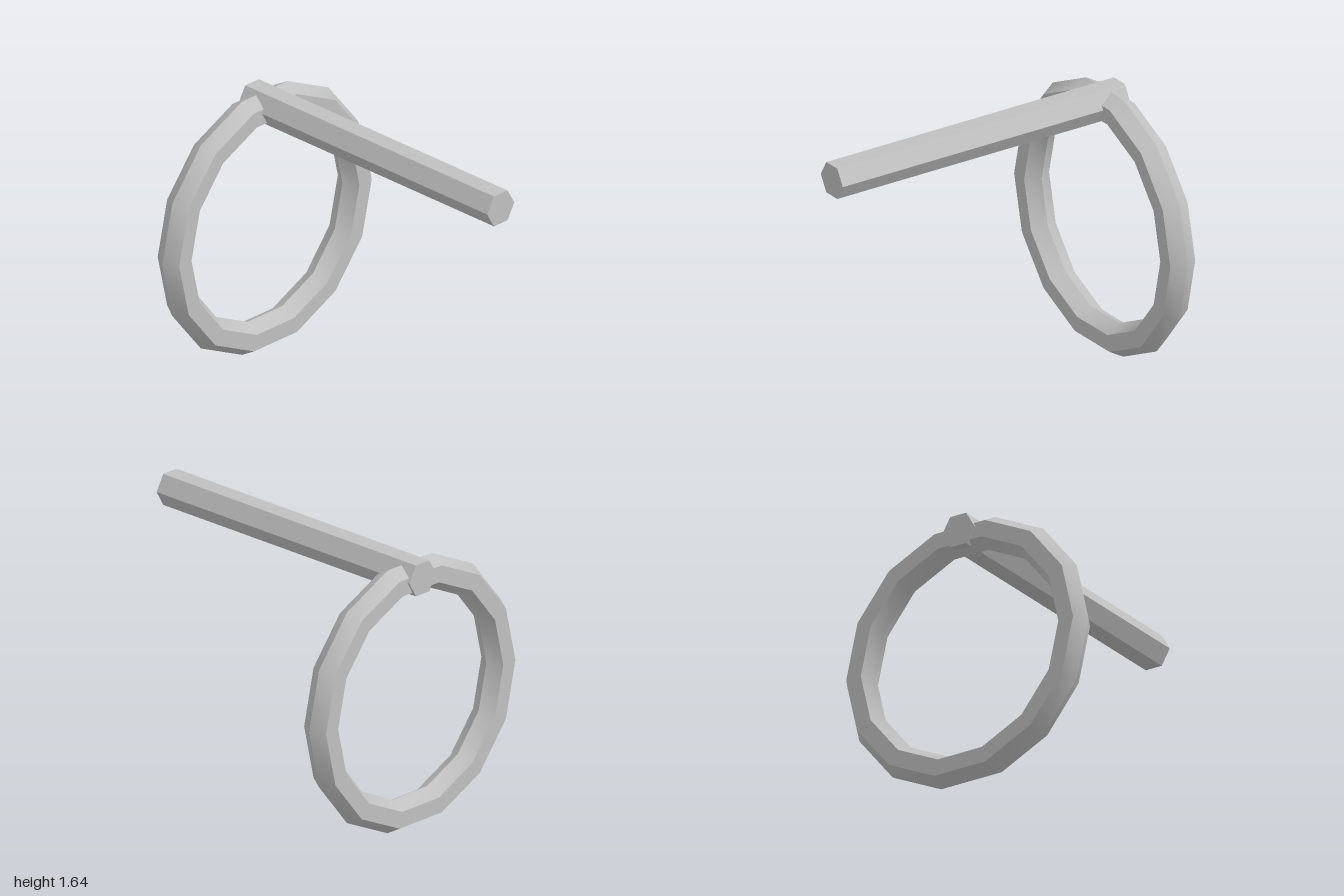
import * as THREE from 'three';
import { toCreasedNormals } from 'three/addons/utils/BufferGeometryUtils.js';

export function createModel() {
  const model = new THREE.Group();
  const grey = new THREE.MeshStandardMaterial({ color: 0xc0c0c0 });
  grey.name = 'grey metal';

  const addPart = (name, geometry, y, z) => {
    const mesh = new THREE.Mesh(geometry, grey);
    mesh.name = name;
    mesh.position.set(0, y, z);
    model.add(mesh);
  };

  // Ring: hexagonal section, smooth along its length, sharp across its ridges
  addPart('ring', toCreasedNormals(new THREE.TorusGeometry(0.73, 0.1, 6, 14), 0.7), 0.814, -0.898);

  // Hexagonal rod running front to back through the top of the ring
  const rod = new THREE.CylinderGeometry(0.11, 0.11, 2, 6);
  rod.rotateY(Math.PI / 6).rotateX(Math.PI / 2);
  addPart('rod', toCreasedNormals(rod, 0.7), 1.55, 0);

  return model;
}
